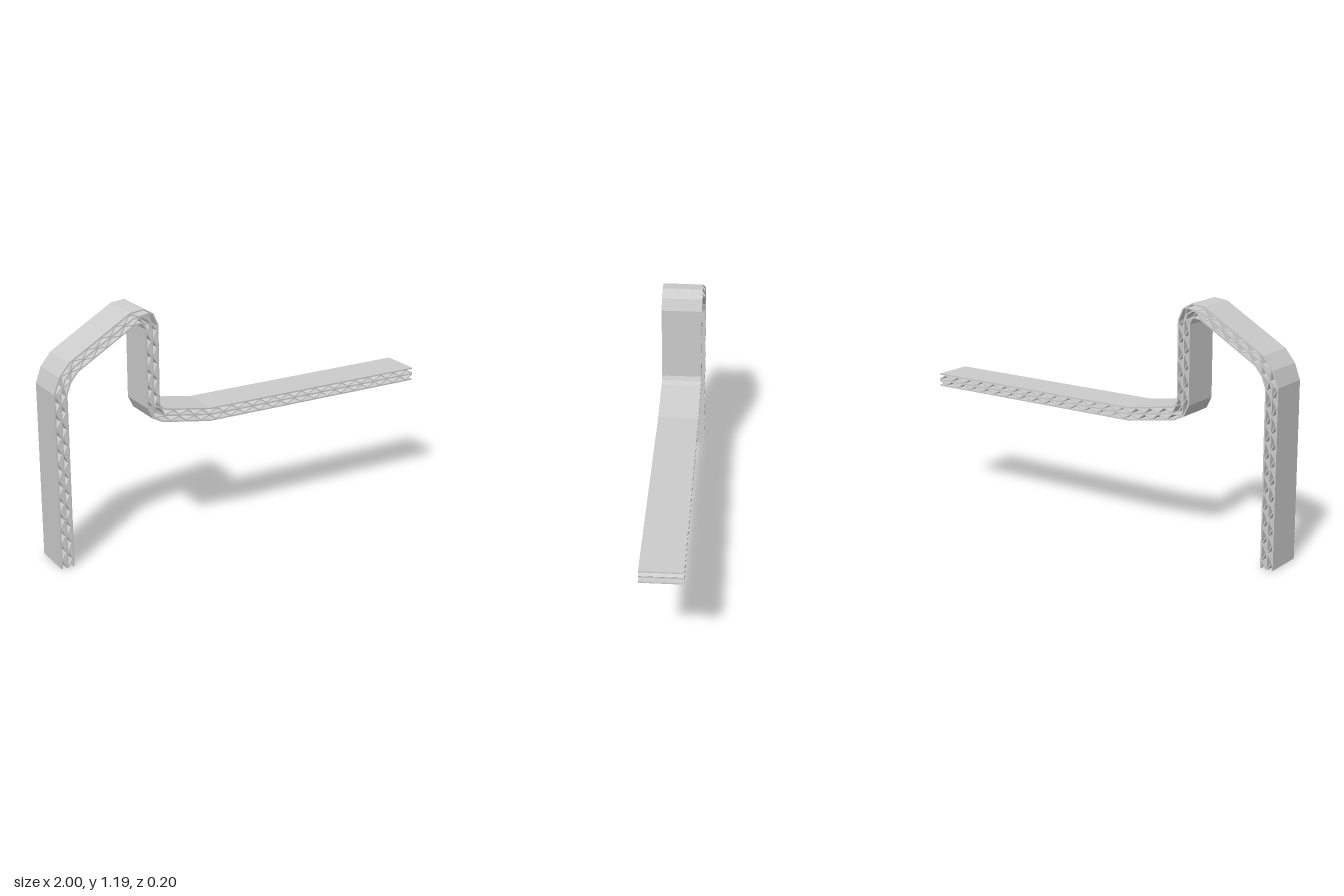
import * as THREE from 'three';

const WIDTH = 0.2;        // strip width along z
const HALF = 0.033;       // half the thickness of the board
const LINER = 0.007;      // sheet thicknesses
const FLUTE = 0.005;
const PERIODS = 42;       // corrugation waves along the strip

// Centre line of the folded board, from the foot to the free end
const PATH = [
  [-0.967, 0], [-0.967, 0.85], [-0.943, 0.915], [-0.9, 0.968], [-0.6, 1.147],
  [-0.55, 1.153], [-0.52, 1.135], [-0.503, 1.095], [-0.503, 0.715],
  [-0.485, 0.677], [-0.447, 0.657], [-0.2, 0.616], [1, 0.616],
].map(([x, y]) => new THREE.Vector2(x, y));

// Shift a polyline sideways, with mitred corners
function offsetLine(points, d) {
  const normals = points.slice(1).map((p, i) => {
    const t = p.clone().sub(points[i]).normalize();
    return new THREE.Vector2(-t.y, t.x);
  });
  return points.map((p, i) => {
    const a = normals[Math.max(i - 1, 0)];
    const b = normals[Math.min(i, normals.length - 1)];
    const m = a.clone().add(b).normalize();
    return p.clone().addScaledVector(m, d / Math.max(m.dot(a), 0.6));
  });
}

// Point a given fraction along the centre line, shifted sideways
const lengths = [0];
PATH.slice(1).forEach((p, i) => lengths.push(lengths[i] + p.distanceTo(PATH[i])));
const total = lengths[lengths.length - 1];

function pointAt(fraction, line) {
  const s = fraction * total;
  let i = 0;
  while (i < PATH.length - 2 && lengths[i + 1] < s) i++;
  const t = (s - lengths[i]) / (lengths[i + 1] - lengths[i]);
  return line[i].clone().lerp(line[i + 1], t);
}

// Thin sheet following a polyline, extruded across the strip
function sheet(name, points, thickness, material) {
  const outline = [
    ...offsetLine(points, -thickness / 2),
    ...offsetLine(points, thickness / 2).reverse(),
  ];
  const geometry = new THREE.ExtrudeGeometry(new THREE.Shape(outline), {
    depth: WIDTH, bevelEnabled: false,
  });
  geometry.translate(0, 0, -WIDTH / 2);
  const mesh = new THREE.Mesh(geometry, material);
  mesh.name = name;
  return mesh;
}

export function createModel() {
  const group = new THREE.Group();
  group.name = 'foldedCorrugatedStrip';
  const material = new THREE.MeshStandardMaterial({ color: 0xcccccc, side: THREE.DoubleSide });

  // Flat liners: two faces and the middle sheet
  const face = HALF - LINER / 2;
  group.add(sheet('outerLiner', offsetLine(PATH, face), LINER, material));
  group.add(sheet('middleLiner', PATH, LINER, material));
  group.add(sheet('innerLiner', offsetLine(PATH, -face), LINER, material));

  // Mirrored zigzag flutes between the liners
  for (const side of [1, -1]) {
    const near = offsetLine(PATH, side * LINER / 2);
    const far = offsetLine(PATH, side * (HALF - LINER));
    const points = [];
    for (let i = 0; i <= PERIODS * 2; i++) {
      points.push(pointAt(i / (PERIODS * 2), i % 2 ? far : near));
    }
    group.add(sheet(side > 0 ? 'outerFlute' : 'innerFlute', points, FLUTE, material));
  }
  return group;
}
